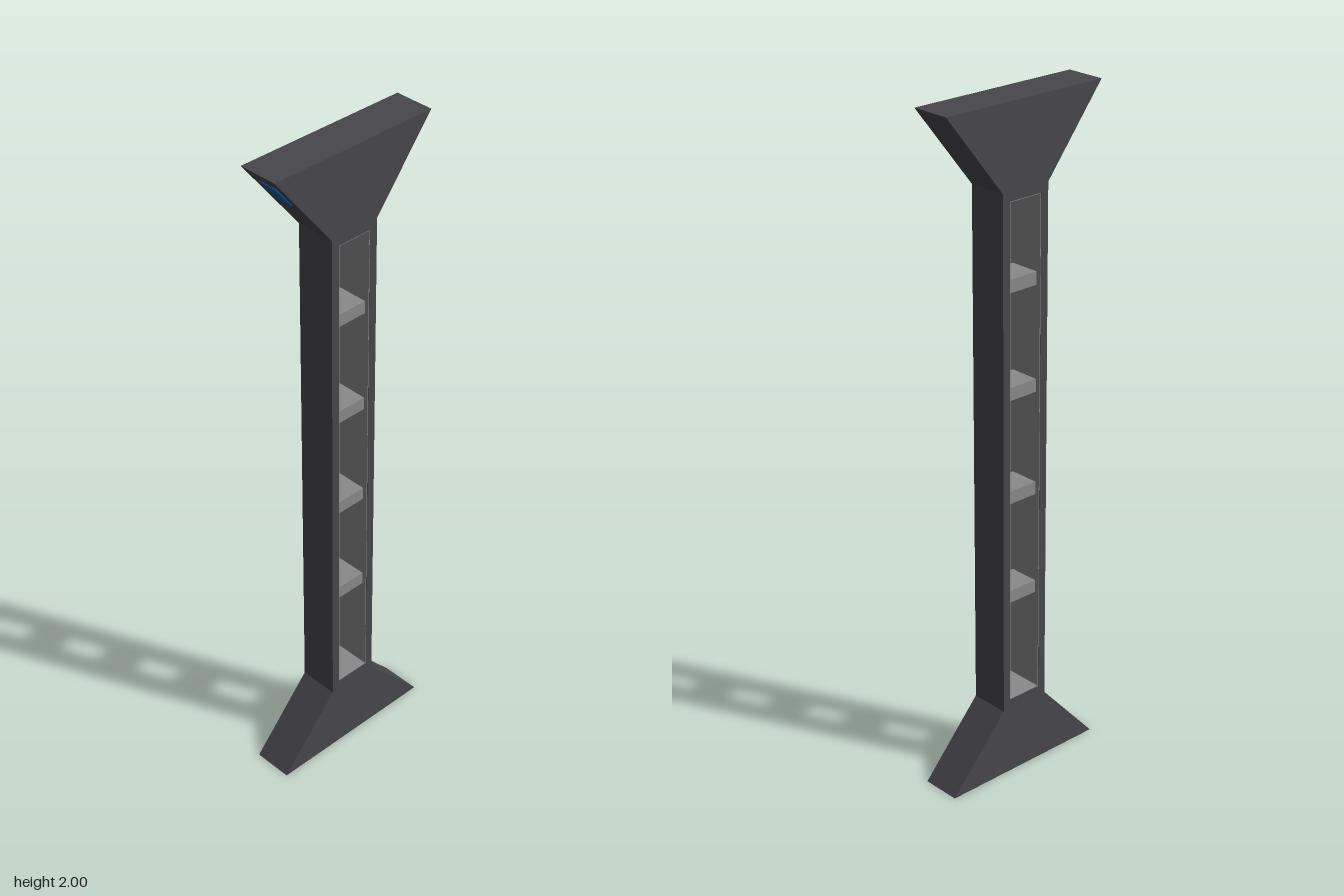
import * as THREE from 'three';

const frameMaterial = new THREE.MeshStandardMaterial({ color: 0x48474c });
frameMaterial.name = 'darkGrey';
const innerMaterial = new THREE.MeshStandardMaterial({ color: 0x8a8a8a });
innerMaterial.name = 'midGrey';
const panelMaterial = new THREE.MeshStandardMaterial({ color: 0x0560b0 });
panelMaterial.name = 'blue';

const WIDTH = 0.12;            // thickness along x
const HALF_OPEN = 0.055;       // half of the opening along z
const OPEN_LOW = 0.24, OPEN_HIGH = 1.735;

// Corners of an upright rectangle
function rectangle(half, low, high) {
  return [[-half, low], [half, low], [half, high], [-half, high]].map(([x, y]) => new THREE.Vector2(x, y));
}

// Extrudes a z-y outline with one hole, centred across x
function extrudeAcross(outline, hole, width) {
  const shape = new THREE.Shape(outline);
  shape.holes.push(new THREE.Path(hole));
  const geometry = new THREE.ExtrudeGeometry(shape, { depth: width, bevelEnabled: false });
  return geometry.translate(0, 0, -width / 2).rotateY(Math.PI / 2);
}

function addMesh(group, name, geometry, material) {
  const mesh = new THREE.Mesh(geometry, material);
  mesh.name = name;
  group.add(mesh);
  return mesh;
}

export function createModel() {
  const group = new THREE.Group();
  group.name = 'pillar';

  // Column with flared foot and head, open through the middle
  const side = [[0.27, 0], [0.08, 0.21], [0.08, 1.76], [0.27, 2]];
  const outline = [
    ...side.map(([z, y]) => new THREE.Vector2(z, y)),
    ...side.slice().reverse().map(([z, y]) => new THREE.Vector2(-z, y)),
  ];
  addMesh(group, 'frame',
    extrudeAcross(outline, rectangle(HALF_OPEN, OPEN_LOW, OPEN_HIGH), WIDTH), frameMaterial);

  // Thin lighter lining of the opening
  const t = 0.002;
  addMesh(group, 'lining', extrudeAcross(
    rectangle(HALF_OPEN, OPEN_LOW, OPEN_HIGH),
    rectangle(HALF_OPEN - t, OPEN_LOW + t, OPEN_HIGH - t), WIDTH - 0.001), innerMaterial);

  // Four rungs, slightly recessed
  for (let i = 0; i < 4; i++) {
    const rung = addMesh(group, 'rung' + (i + 1),
      new THREE.BoxGeometry(0.092, 0.038, HALF_OPEN * 2), innerMaterial);
    rung.position.y = 0.565 + i * 0.31;
  }

  // Small panel on the sloping front of the head
  const panel = addMesh(group, 'panel', new THREE.BoxGeometry(0.058, 0.087, 0.004), panelMaterial);
  panel.position.set(0, 1.925, 0.08 + 0.19 * (0.165 / 0.24));
  panel.rotation.x = Math.atan2(0.19, 0.24);

  return group;
}
